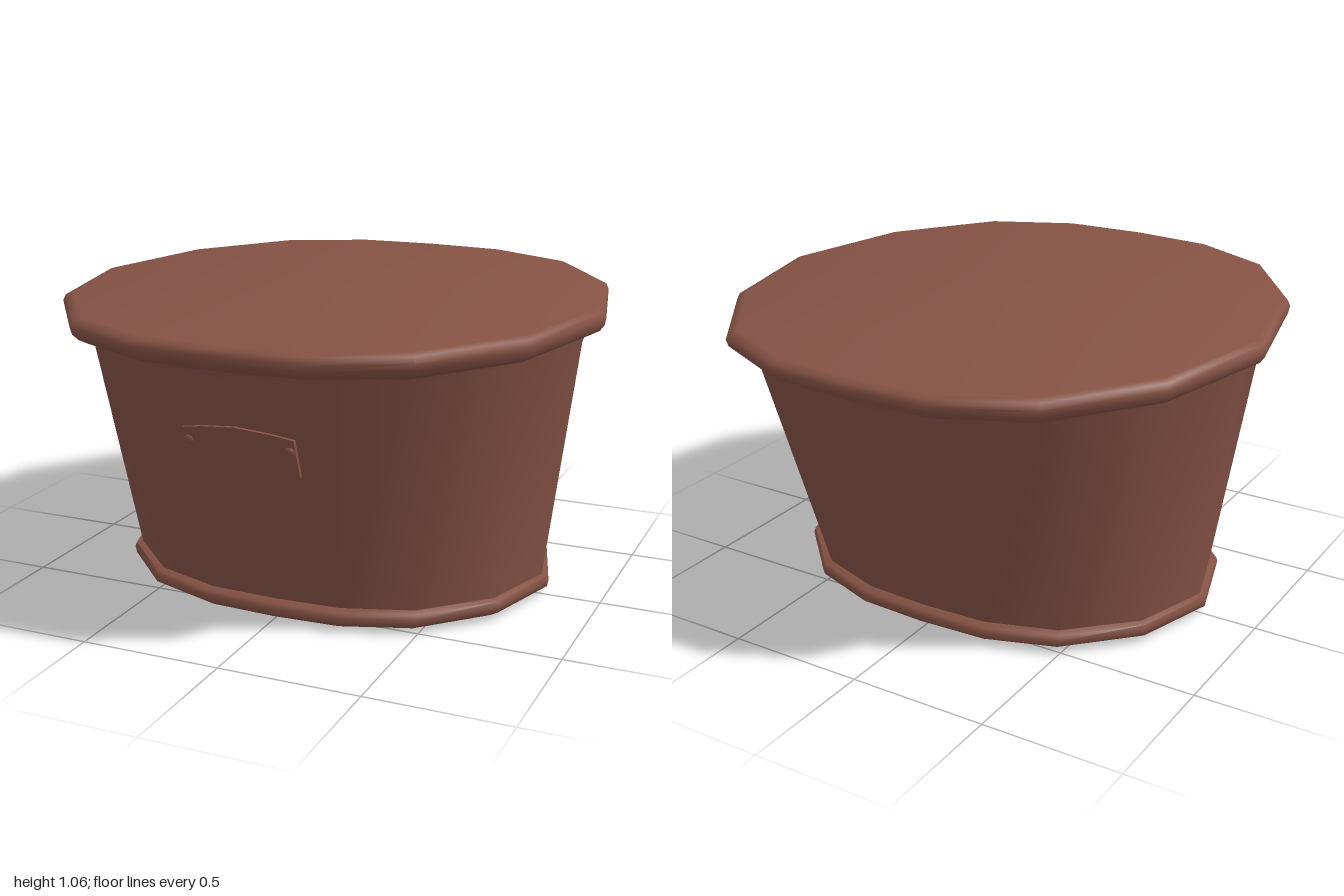
import * as THREE from 'three';
import { toCreasedNormals } from 'three/addons/utils/BufferGeometryUtils.js';

const material = new THREE.MeshStandardMaterial({ color: 0x855244 });

// Sixteen-sided unit outline: one quarter, mirrored into the other three
const quarter = [[0, 1], [0.31, 0.98], [0.62, 0.837], [0.887, 0.48]];
const half = [...quarter, [1, 0], ...quarter.slice(1).reverse().map(([x, z]) => [x, -z])];
const outline = [...half, ...half.map(([x, z]) => [-x, -z])];

// Skin a profile of [y, halfWidth, halfDepth] rings, listed bottom to top along the outside
function loft(name, rings) {
  const n = outline.length;
  const positions = [];
  const point = (i, j) => {
    const [y, rx, rz] = rings[i];
    const [x, z] = outline[j % n];
    return [x * rx, y, z * rz];
  };
  for (let i = 0; i < rings.length - 1; i++) {
    for (let j = 0; j < n; j++) {
      const a = point(i, j), b = point(i, j + 1), c = point(i + 1, j + 1), d = point(i + 1, j);
      if (rings[i][1] > 0) positions.push(...a, ...b, ...c);
      else positions.push(...a, ...c, ...d);
      if (rings[i][1] > 0 && rings[i + 1][1] > 0) positions.push(...a, ...c, ...d);
    }
  }
  const geometry = new THREE.BufferGeometry();
  geometry.setAttribute('position', new THREE.Float32BufferAttribute(positions, 3));
  const mesh = new THREE.Mesh(toCreasedNormals(geometry, 0.95), material);
  mesh.name = name;
  return mesh;
}

// Front wall depth at a given x and y
const wallZ = (x, y) => (0.58 + (y - 0.08) * 0.352) * (1 - 0.077 * Math.abs(x));

// Half of the folded label plate, bent to follow the sloping wall
function plateHalf(side) {
  const shape = new THREE.Shape([[0, 0.57], [0.2, 0.597], [0.2, 0.733], [0.12, 0.747], [0, 0.76]]
    .map(([x, y]) => new THREE.Vector2(x * side, y)));
  const geometry = new THREE.ExtrudeGeometry(shape, { depth: 1, bevelEnabled: false });
  const p = geometry.attributes.position;
  for (let i = 0; i < p.count; i++) {
    const x = p.getX(i), y = p.getY(i);
    const lift = p.getZ(i) > 0.5 ? 0.016 : -0.01;
    p.setXYZ(i, x, y, wallZ(x, y) + lift);
  }
  geometry.computeVertexNormals();
  const mesh = new THREE.Mesh(geometry, material);
  mesh.name = side > 0 ? 'plateLeft' : 'plateRight';
  return mesh;
}

function rivet(side) {
  const x = 0.18 * side, y = 0.69;
  const mesh = new THREE.Mesh(new THREE.SphereGeometry(0.018, 10, 6), material);
  mesh.scale.z = 0.5;
  mesh.rotation.x = 0.34;
  mesh.position.set(x, y, wallZ(x, y) + 0.015);
  mesh.name = side > 0 ? 'rivetLeft' : 'rivetRight';
  return mesh;
}

export function createModel() {
  const group = new THREE.Group();
  group.name = 'tub';

  // Rounded foot band with closed underside
  group.add(loft('foot', [
    [0, 0, 0], [0.003, 0.72, 0.55], [0.012, 0.77, 0.585], [0.032, 0.805, 0.615],
    [0.055, 0.81, 0.62], [0.072, 0.805, 0.61], [0.08, 0.77, 0.57],
  ]));

  // Flaring wall: oval below, nearly round above
  group.add(loft('wall', [[0.06, 0.782, 0.575], [0.94, 0.892, 0.885], [0.975, 0.905, 0.905]]));

  // Thick rim with closed top
  group.add(loft('rim', [
    [0.97, 0.87, 0.87], [0.967, 0.92, 0.935], [0.983, 0.95, 0.965], [1.005, 0.966, 0.99],
    [1.03, 0.97, 1], [1.05, 0.96, 0.99], [1.058, 0.935, 0.96], [1.06, 0, 0],
  ]));

  // Riveted label plate on the front
  const plate = new THREE.Group();
  plate.name = 'labelPlate';
  for (const side of [-1, 1]) plate.add(plateHalf(side), rivet(side));
  plate.position.x = -0.01;
  group.add(plate);

  return group;
}
